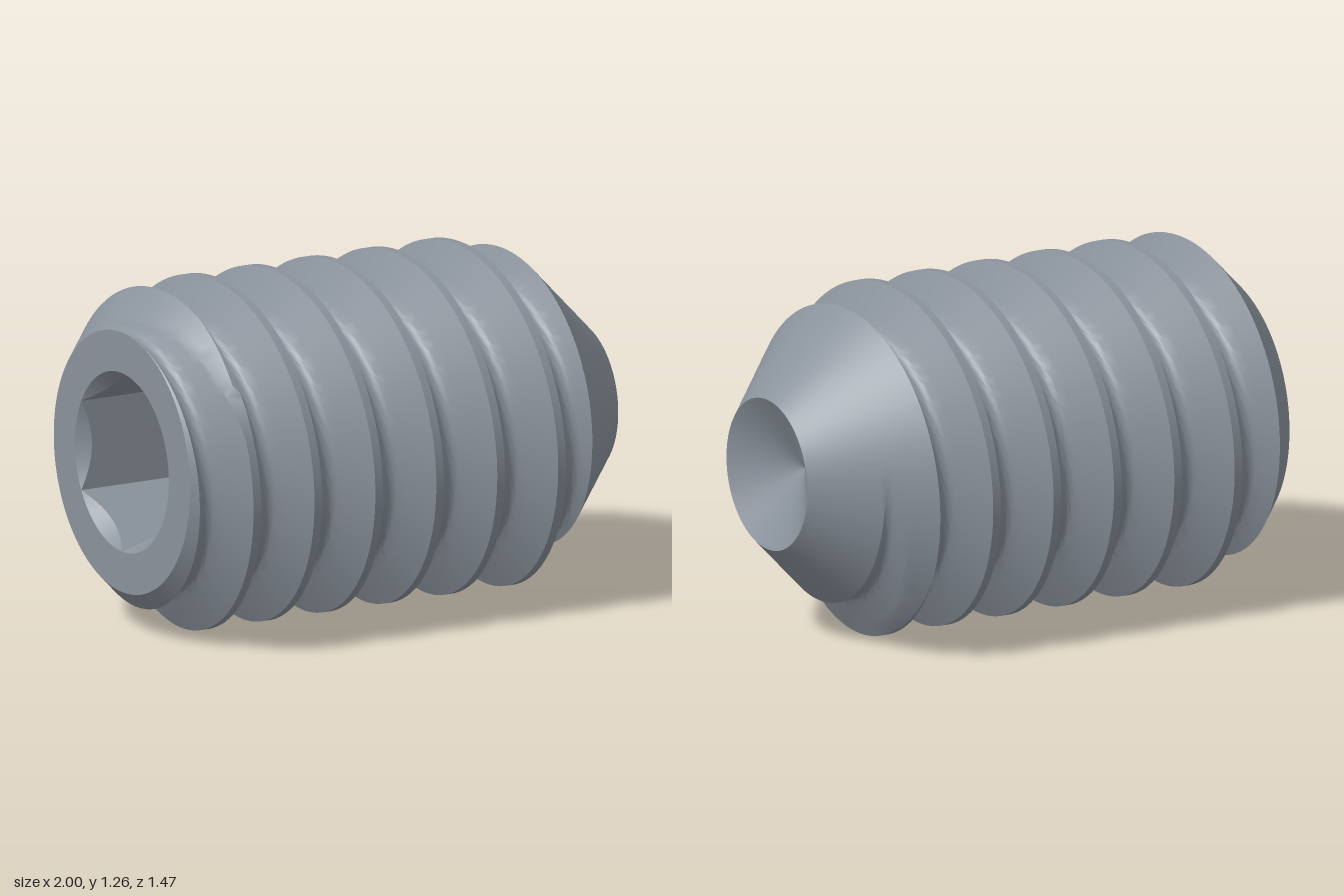
import * as THREE from 'three';
import { toCreasedNormals } from 'three/addons/utils/BufferGeometryUtils.js';

const HALF = 0.9425;            // half length along the axis (local x)
const PITCH = 0.2514, ROOT = 0.475, MAJOR = 0.63;
const CUP = 0.275;              // radius of the cup point rim
const APOTHEM = 0.283, CORNER = APOTHEM / Math.cos(Math.PI / 6);
const SOCKET_DEPTH = 0.63;
const SEGMENTS = 120;

// Sweeps a profile round the x axis; path(theta) returns [axial, radius] points
function sweep(path) {
  const pos = [], index = [];
  let n = 0;
  for (let i = 0; i <= SEGMENTS; i++) {
    const t = (i % SEGMENTS) / SEGMENTS * Math.PI * 2;
    const points = path(i / SEGMENTS * Math.PI * 2);
    n = points.length;
    for (const [s, r] of points) pos.push(s, r * Math.sin(t), r * Math.cos(t));
  }
  const at = (k) => new THREE.Vector3(pos[3 * k], pos[3 * k + 1], pos[3 * k + 2]);
  const add = (a, b, c) => {
    const A = at(a), area = at(b).sub(A).cross(at(c).sub(A)).length();
    if (area > 1e-9) index.push(a, b, c);
  };
  for (let i = 0; i < SEGMENTS; i++) {
    for (let j = 0; j < n - 1; j++) {
      const a = i * n + j, b = a + n;
      add(a, a + 1, b);
      add(a + 1, b + 1, b);
    }
  }
  const g = new THREE.BufferGeometry();
  g.setAttribute('position', new THREE.Float32BufferAttribute(pos, 3));
  g.setIndex(index);
  return toCreasedNormals(g, 0.5);
}

// One pitch of a 60 degree thread, root centre to root centre: [axial, radius]
function threadProfile() {
  const half = [], rr = 0.036;
  for (let i = 0; i <= 5; i++) {          // rounded root
    const a = i / 5 * Math.PI / 3;
    half.push([rr * Math.sin(a) - PITCH / 2, ROOT + rr * (1 - Math.cos(a))]);
  }
  const [s0, r0] = half[5];
  for (let i = 1; i <= 5; i++) {          // straight flank
    const k = i / 5;
    half.push([s0 + (-PITCH / 16 - s0) * k, r0 + (MAJOR - r0) * k]);
  }
  const mirrored = half.slice(1).reverse().map(([s, r]) => [-s, r]);
  return [...half, ...mirrored];
}

// Helical thread cut back by the rear chamfer and the front cone
function threadPath() {
  const profile = threadProfile();
  const limit = (s) => Math.min(ROOT + s + HALF, CUP + HALF - s);
  return (theta) => {
    const raw = [];
    for (let k = -5; k <= 4; k++) {
      const centre = 0.247 + k * PITCH - PITCH * theta / (Math.PI * 2);
      for (const [s, r] of profile) raw.push([centre + s, r]);
    }
    const over = raw.map(([s, r]) => r - limit(s));
    return raw.map(([s, r], i) => {
      if (over[i] <= 0) return [s, r];
      // Snap to the exact crossing next to an uncut point
      for (const j of [i - 1, i + 1]) {
        if (raw[j] && over[j] < 0) {
          const k = over[i] / (over[i] - over[j]);
          return [s + (raw[j][0] - s) * k, r + (raw[j][1] - r) * k];
        }
      }
      const x = THREE.MathUtils.clamp(s, -HALF, HALF);
      return [x, Math.min(r, limit(x))];
    });
  };
}

// Hexagon radius at an angle, with corners pointing up and down
function hexRadius(theta) {
  const sector = Math.PI / 3;
  const a = theta - Math.round(theta / sector) * sector;
  return APOTHEM / Math.cos(a);
}

export function createModel() {
  const steel = new THREE.MeshStandardMaterial({ color: 0x8a929c });
  steel.name = 'steel';
  const screw = new THREE.Group();
  screw.name = 'setScrew';
  const part = (name, path) => {
    const mesh = new THREE.Mesh(sweep(path), steel);
    mesh.name = name;
    screw.add(mesh);
  };

  part('threadedBody', threadPath());

  part('rearFace', () => [[-HALF, CORNER], [-HALF, ROOT]]);

  // Hexagonal socket with a countersunk mouth
  part('hexSocket', (t) => {
    const r = hexRadius(t), floor = -HALF + SOCKET_DEPTH;
    return [[floor, 0], [floor, r], [-HALF + CORNER - r, r], [-HALF, CORNER]];
  });

  // Conical hollow in the tip
  part('cupPoint', () => [[HALF, CUP], [HALF - 0.159, 0]]);

  screw.rotation.y = -THREE.MathUtils.degToRad(12);
  screw.position.set(0.021, MAJOR, 0.013);
  const model = new THREE.Group();
  model.name = 'model';
  model.add(screw);
  return model;
}
